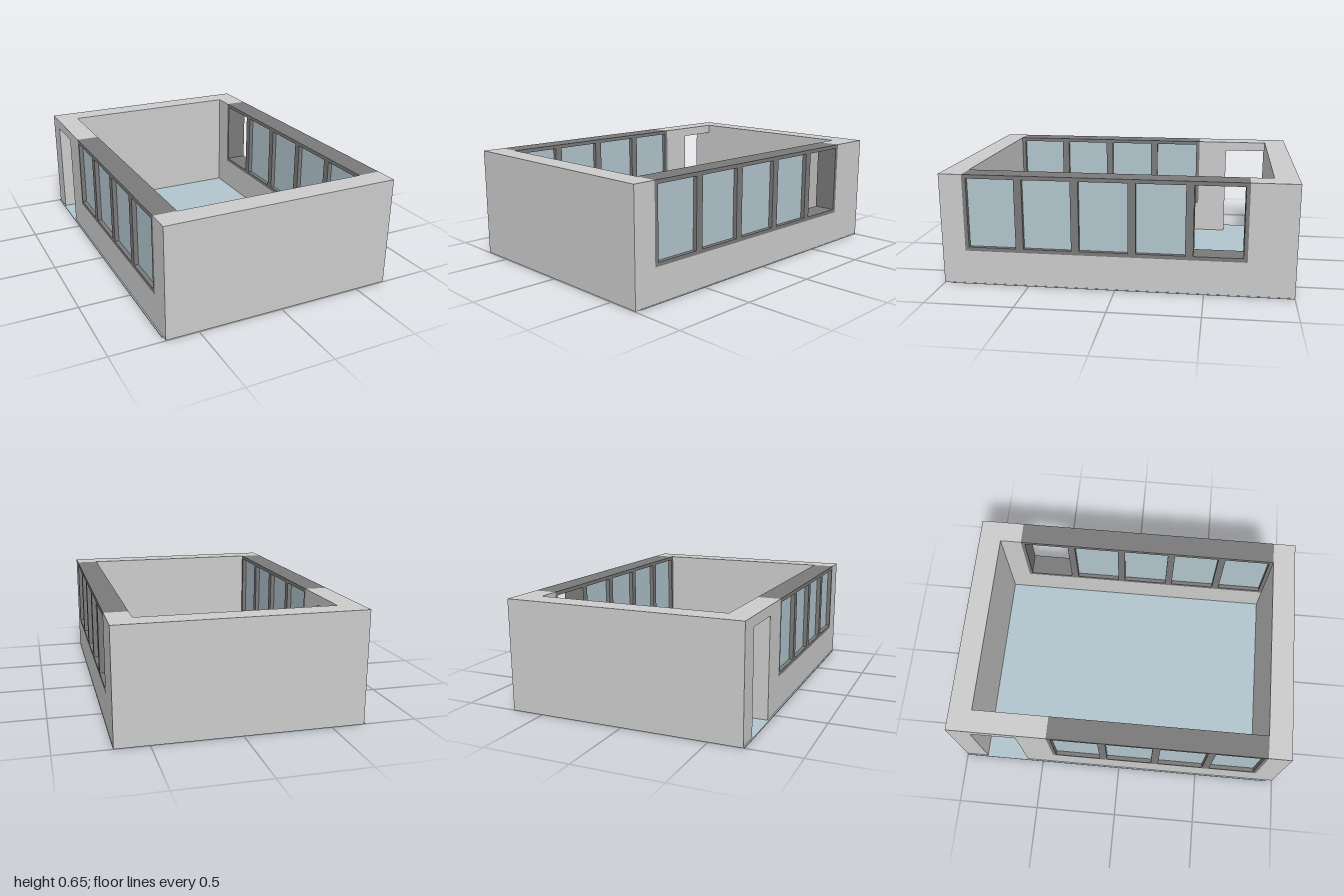
import * as THREE from 'three';

const wallMat = new THREE.MeshStandardMaterial({ color: 0xcccccc });
const frameMat = new THREE.MeshStandardMaterial({ color: 0x7a7a7a });
const blueMat = new THREE.MeshStandardMaterial({ color: 0xb2c5cd });

const OUT_X = 0.69, IN_X = 0.557, IN_Z = 0.865;
const BASE = 0.003, SILL = 0.2, TOP = 0.647, DOOR_TOP = 0.59;
const UNIT = 0.32, FRAME = 0.0225;

// Box given by its extents along each axis
function block(parent, name, mat, [x0, x1], [y0, y1], [z0, z1]) {
  const mesh = new THREE.Mesh(new THREE.BoxGeometry(x1 - x0, y1 - y0, z1 - z0), mat);
  mesh.position.set((x0 + x1) / 2, (y0 + y1) / 2, (z0 + z1) / 2);
  mesh.name = name;
  parent.add(mesh);
}

// Row of framed windows running back from the front wall; the last may be left open
function windowRow(name, xs, count, glazed) {
  const row = new THREE.Group();
  row.name = name;
  const end = IN_Z - count * UNIT;
  block(row, 'sillRail', frameMat, xs, [SILL, SILL + FRAME], [end, IN_Z]);
  block(row, 'topRail', frameMat, xs, [TOP - FRAME, TOP], [end, IN_Z]);
  const ys = [SILL + FRAME, TOP - FRAME];
  for (let i = 0; i <= count; i++) {
    const z = IN_Z - i * UNIT;
    block(row, 'mullion', frameMat, xs, ys, [Math.max(z - FRAME, end), Math.min(z + FRAME, IN_Z)]);
    if (i < glazed) {
      block(row, 'glass', blueMat, [xs[0] + 0.025, xs[1] - 0.025], ys, [z - UNIT + FRAME, z - FRAME]);
    }
  }
  return row;
}

export function createModel() {
  const model = new THREE.Group();
  model.name = 'room';
  const rightX = [IN_X, OUT_X], leftX = [-OUT_X, -IN_X];
  const rightEnd = IN_Z - 5 * UNIT, leftEnd = IN_Z - 4 * UNIT;

  // Floor slab
  block(model, 'floor', blueMat, [-0.698, 0.692], [0, 0.006], [-1, 0.965]);

  // Solid end walls
  block(model, 'frontWall', wallMat, [-OUT_X, OUT_X], [BASE, TOP], [IN_Z, 1]);
  block(model, 'backWall', wallMat, [-OUT_X, OUT_X], [BASE, TOP], [-1, -IN_Z]);

  // Side wall with five window bays
  block(model, 'windowWallBase', wallMat, rightX, [BASE, SILL], [-IN_Z, IN_Z]);
  block(model, 'windowWallPier', wallMat, rightX, [SILL, TOP], [-IN_Z, rightEnd]);
  model.add(windowRow('fiveBayWindow', rightX, 5, 4));

  // Side wall with four window bays and a doorway next to the back wall
  block(model, 'doorWallBase', wallMat, leftX, [BASE, SILL], [leftEnd, IN_Z]);
  block(model, 'doorWallPier', wallMat, leftX, [BASE, TOP], [-0.6, leftEnd]);
  block(model, 'doorLintel', wallMat, leftX, [DOOR_TOP, TOP], [-IN_Z, -0.6]);
  model.add(windowRow('fourBayWindow', leftX, 4, 4));

  return model;
}
